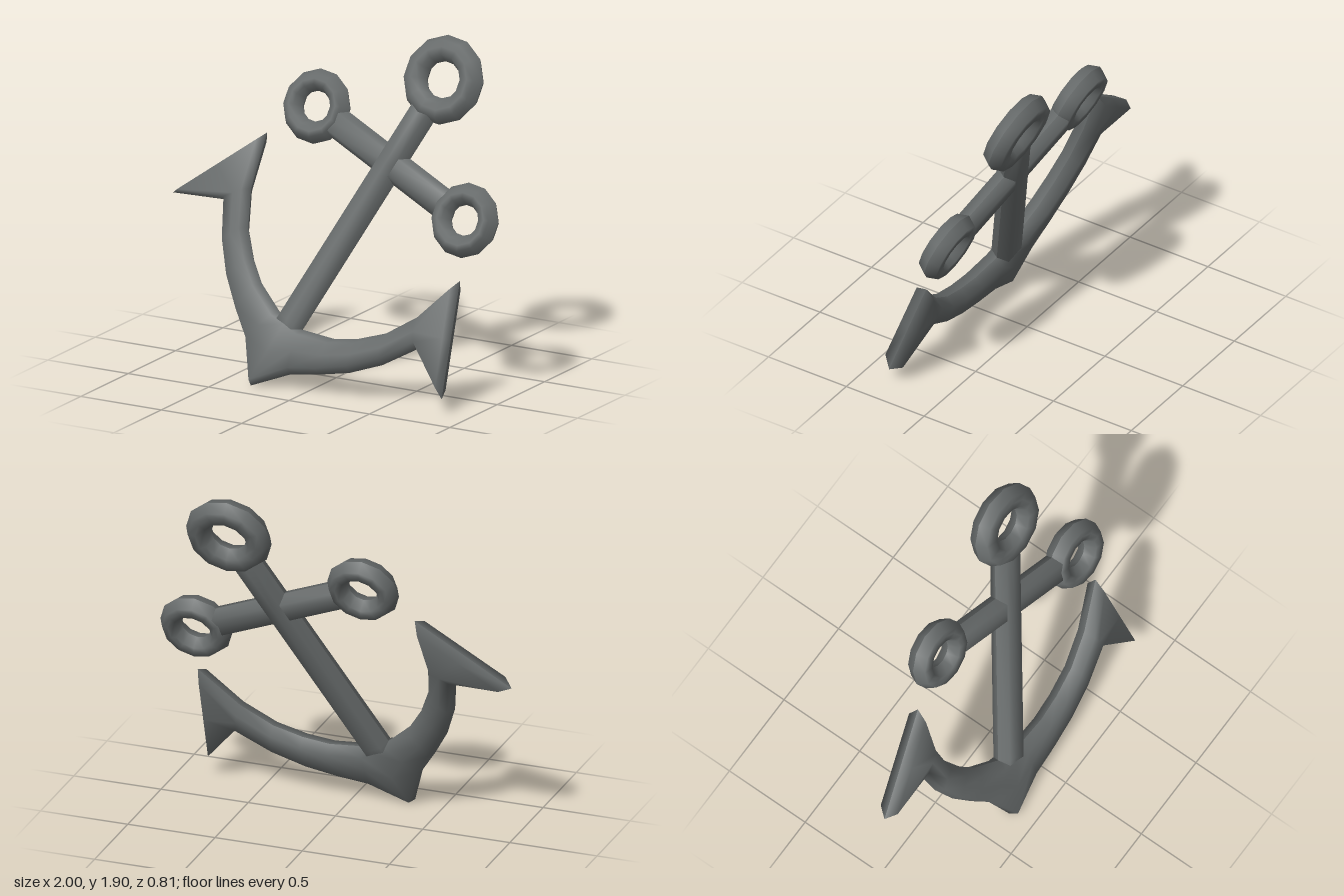
import * as THREE from 'three';

const iron = new THREE.MeshStandardMaterial({ color: 0x666a6a });
iron.name = 'dark iron';

const BEVEL = 0.03;

// Bevelled bar lofted through [left, right] edge pairs; both halves meet in a sharp ridge at z = 0.
function loft(name, pairs, half, closed = false) {
  const pos = [], index = [];
  const toward = (p, q, d) => p.clone().lerp(q, Math.min(0.45, d / (p.distanceTo(q) || 1)));
  const rows = pairs.map(([l, r]) => [new THREE.Vector2(...l), new THREE.Vector2(...r)]);
  for (const s of [1, -1]) {
    const grid = [];
    rows.forEach(([l, r], i) => {
      const first = !closed && i === 0, last = !closed && i === rows.length - 1;
      const mid = l.clone().lerp(r, 0.5);
      const ridge = [l, l, mid, r, r].map((p) => [p.x, p.y, 0]);
      // Bar ends are bevelled back along their own edges
      const next = first ? rows[1] : last ? rows[i - 1] : null;
      const a = next ? toward(l, next[0], BEVEL) : l;
      const b = next ? toward(r, next[1], BEVEL) : r;
      const fl = toward(a, b, BEVEL), fr = toward(b, a, BEVEL);
      const fm = fl.clone().lerp(fr, 0.5);
      const z = s * half;
      if (first) grid.push(ridge);
      grid.push([[l.x, l.y, 0], [fl.x, fl.y, z], [fm.x, fm.y, z], [fr.x, fr.y, z], [r.x, r.y, 0]]);
      if (last) grid.push(ridge);
    });
    const base = pos.length / 3, n = grid.length;
    grid.flat().forEach((p) => pos.push(...p));
    for (let i = 0; i < (closed ? n : n - 1); i++) {
      for (let j = 0; j < 4; j++) {
        const a = base + i * 5 + j, c = base + ((i + 1) % n) * 5 + j;
        const b = a + 1, d = c + 1;
        if (s > 0) index.push(a, b, c, b, d, c);
        else index.push(a, c, b, b, c, d);
      }
    }
  }
  const geo = new THREE.BufferGeometry();
  geo.setAttribute('position', new THREE.Float32BufferAttribute(pos, 3));
  geo.setIndex(index);
  geo.computeVertexNormals();
  const mesh = new THREE.Mesh(geo, iron);
  mesh.name = name;
  return mesh;
}

// Twelve-sided eye with a hole
function ring(name, x, y, inner, outer) {
  const pairs = [];
  for (let i = 0; i < 12; i++) {
    const c = Math.cos((i * Math.PI) / 6), s = Math.sin((i * Math.PI) / 6);
    pairs.push([[x + inner * c, y + inner * s], [x + outer * c, y + outer * s]]);
  }
  return loft(name, pairs, 0.06, true);
}

export function createModel() {
  const anchor = new THREE.Group();
  anchor.name = 'anchor';

  // Curved arms with flukes: one side as [inner, outer], mirrored about the shank
  const side = [
    [[0.085, 0.415], [0.168, 0.182]],
    [[0.273, 0.48], [0.31, 0.273]],
    [[0.4, 0.563], [0.463, 0.384]],
    [[0.523, 0.678], [0.606, 0.528]],
    [[0.632, 0.856], [0.736, 0.718]],
    [[0.731, 1.152], [1.018, 0.578]],
  ];
  const mirrored = side.map((pair) => pair.map(([x, y]) => [-x, y])).reverse();
  anchor.add(loft('arms', [...mirrored, [[0, 0.42], [0, 0]], ...side], 0.06));

  // Shank and stock, slightly thinner so overlapping faces stay apart
  const w = 0.085;
  anchor.add(loft('shank', [0.28, 0.42, 1.43, 1.8].map((y) => [[-w, y], [w, y]]), 0.0594));
  anchor.add(loft('stock', [-0.43, 0, 0.43].map((x) => [[x, 1.43 + w], [x, 1.43 - w]]), 0.0588));

  // Eyes
  anchor.add(ring('topRing', 0, 1.97, 0.1, 0.243));
  anchor.add(ring('leftStockRing', 0.562, 1.432, 0.083, 0.204));
  anchor.add(ring('rightStockRing', -0.562, 1.432, 0.083, 0.204));

  // Leaning sideways and tilted back, standing on its crown
  anchor.rotation.set(-0.36, 0, -0.434);
  anchor.position.set(-0.32, 0.003, 0.36);

  const model = new THREE.Group();
  model.add(anchor);
  return model;
}
